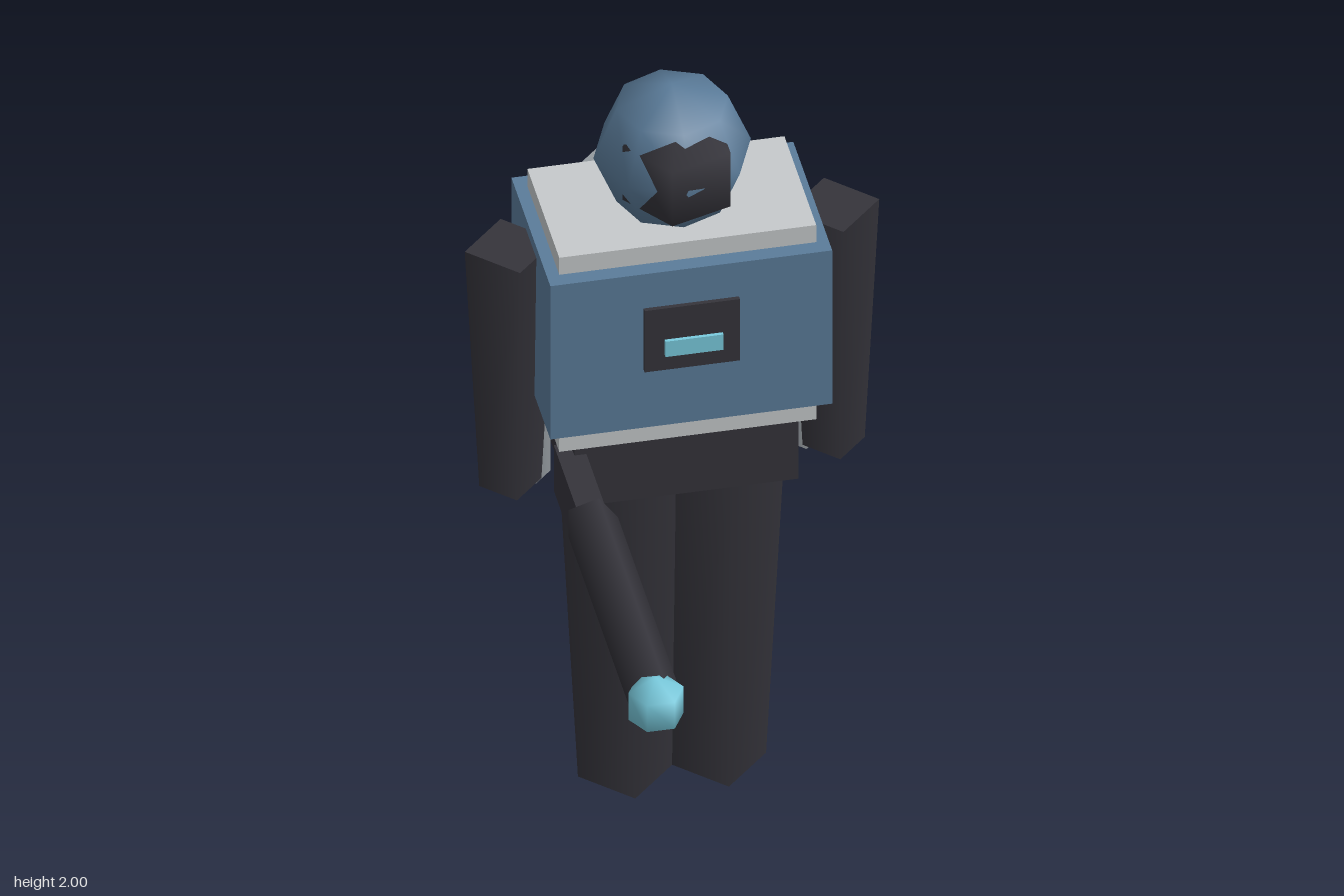
import * as THREE from 'three';

const mat = (name, color) => {
  const m = new THREE.MeshStandardMaterial({ color });
  m.name = name;
  return m;
};

export function createModel() {
  const suit = mat('charcoal', 0x35343b);
  const blue = mat('steel blue', 0x5b7c9a);
  const pale = mat('pale grey', 0xc6cacc);
  const metal = mat('metal grey', 0x949a9f);
  const glow = mat('cyan', 0x7accdf);

  const model = new THREE.Group();
  model.name = 'trooper';
  const Z = -0.424; // body centre line

  const add = (name, geometry, material, x, y, z) => {
    const mesh = new THREE.Mesh(geometry, material);
    mesh.name = name;
    mesh.position.set(x, y, z);
    model.add(mesh);
    return mesh;
  };
  const box = (name, material, w, h, d, x, y, z) =>
    add(name, new THREE.BoxGeometry(w, h, d), material, x, y, z);
  // four-sided smooth-shaded post standing between y0 and y1
  const post = (name, material, rTop, rBottom, y0, y1, x, z) =>
    add(name, new THREE.CylinderGeometry(rTop, rBottom, y1 - y0, 4), material, x, (y0 + y1) / 2, z);

  // torso
  box('pelvis', suit, 0.54, 0.18, 0.32, 0, 1.005, Z + 0.004);
  box('undersuit', pale, 0.62, 0.57, 0.36, 0, 1.38, Z);
  box('chestArmour', blue, 0.68, 0.45, 0.44, 0, 1.39, Z);
  box('chestPanel', suit, 0.23, 0.18, 0.03, 0, 1.425, -0.208);
  box('chestLight', glow, 0.14, 0.045, 0.009, 0, 1.414, -0.172);

  // paired parts
  for (const s of [1, -1]) {
    const side = s > 0 ? 'left' : 'right';
    post(side + 'Leg', suit, 0.16, 0.114, 0, 0.916, s * 0.113, Z + 0.002);
    post(side + 'Arm', suit, 0.11, 0.075, 0.89, 1.583, s * 0.39, Z + 0.002);
    post(side + 'Holster', metal, 0.044, 0.044, 0.87, 1.03, s * 0.326, -0.474);
    post(side + 'BackTank', metal, 0.09, 0.09, 1.105, 1.617, s * 0.09, -0.653);
  }

  // head with a visor bulging through the front
  add('helmet', new THREE.SphereGeometry(0.19, 8, 4), blue, 0, 1.81, Z + 0.003);
  add('visor', new THREE.SphereGeometry(0.156, 5, 3), suit, 0, 1.81, -0.35);

  // launcher pointing forward at the right hip
  box('launcherGrip', suit, 0.068, 0.133, 0.32, -0.275, 1.0, -0.15);
  const barrel = new THREE.CylinderGeometry(0.066, 0.066, 0.735, 5);
  barrel.rotateY(Math.PI / 2).rotateX(Math.PI / 2);
  add('launcherBarrel', barrel, suit, -0.275, 1.025, 0.3125);
  add('launcherOrb', new THREE.SphereGeometry(0.077, 6, 3), glow, -0.275, 1.025, 0.684);

  return model;
}
